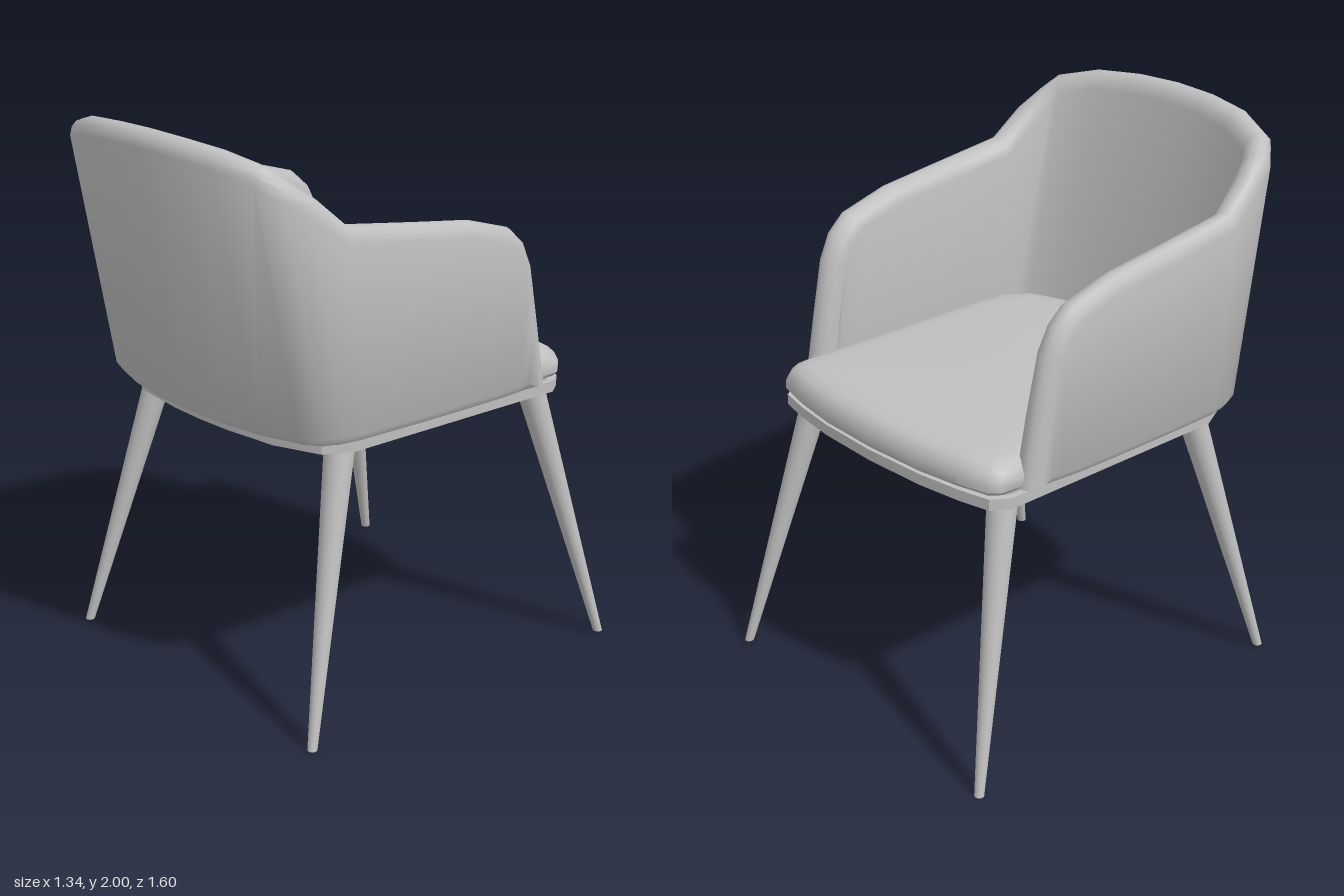
import * as THREE from 'three';
import { toCreasedNormals } from 'three/addons/utils/BufferGeometryUtils.js';

// Closed solid through equal-length rings of Vector3, with fan caps at both ends.
function loft(rings, crease) {
  const n = rings[0].length, pts = rings.flat(), tris = [];
  for (let i = 0; i < rings.length - 1; i++) {
    for (let j = 0; j < n; j++) {
      const a = i * n + j, b = i * n + (j + 1) % n;
      tris.push([a, b, b + n], [a, b + n, a + n]);
    }
  }
  [0, rings.length - 1].forEach((r, end) => {
    const c = pts.length;
    pts.push(rings[r].reduce((s, p) => s.add(p), new THREE.Vector3()).divideScalar(n));
    for (let j = 0; j < n; j++) {
      const a = r * n + j, b = r * n + (j + 1) % n;
      tris.push(end ? [a, b, c] : [b, a, c]);
    }
  });
  // Turn the faces outward
  let volume = 0;
  for (const [a, b, c] of tris) volume += pts[a].dot(pts[b].clone().cross(pts[c]));
  if (volume < 0) tris.forEach(t => t.reverse());
  const g = new THREE.BufferGeometry().setFromPoints(pts);
  g.setIndex(tris.flat());
  g.computeVertexNormals();
  return toCreasedNormals(g, crease);
}

// Mirrored plan outline, stacked in layers of [y, inset]
function slab(half, layers) {
  const cz = -0.06;
  const plan = [...half, ...half.slice(1, -1).reverse().map(([x, z]) => [-x, z])];
  return loft(layers.map(([y, inset]) => plan.map(([x, z]) => new THREE.Vector3(
    x * (1 - inset / 0.575), y, cz + (z - cz) * (1 - inset / 0.64)))), 0.7);
}

// Wraparound back and arms, swept from one arm front to the other
function shellGeometry() {
  // Outer edge from the middle of the back: x, bottom z, top z, top y
  const half = [
    [0, 0.62, 0.795, 2.0], [0.18, 0.612, 0.787, 1.995], [0.36, 0.585, 0.757, 1.98],
    [0.52, 0.535, 0.695, 1.94], [0.575, 0.49, 0.62, 1.89], [0.602, 0.43, 0.52, 1.83],
    [0.615, 0.35, 0.40, 1.735], [0.62, 0.1, 0.1, 1.695], [0.62, -0.14, -0.13, 1.665],
    [0.618, -0.28, -0.32, 1.61], [0.614, -0.34, -0.39, 1.55], [0.61, -0.38, -0.435, 1.46],
    [0.607, -0.42, -0.48, 1.25], [0.605, -0.45, -0.525, 1.02],
  ];
  const path = [...half.slice(1).reverse().map(([x, ...r]) => [-x, ...r]), ...half];
  const top = path.map(([x, , z, y]) => new THREE.Vector3(x, y, z));
  // Rounded rim: distance inward, depth below the edge
  const rim = [[0, 0.055], [0.008, 0.025], [0.025, 0.006], [0.045, 0],
    [0.07, 0.006], [0.092, 0.025], [0.105, 0.06]];
  const rings = path.map(([x, zb], i) => {
    const a = Math.max(i - 1, 0), b = Math.min(i + 1, path.length - 1);
    const out = new THREE.Vector3(path[a][1] - path[b][1], 0, path[b][0] - path[a][0]).normalize();
    const along = top[b].clone().sub(top[a]).normalize();
    const inward = along.cross(out).normalize();
    const foot = (d, y) => new THREE.Vector3(x, Math.min(y, top[i].y), zb).addScaledVector(out, -d);
    const ring = [foot(0, 1.04)];
    for (const [d, depth] of rim) {
      const p = top[i].clone().addScaledVector(out, -d).addScaledVector(inward, depth);
      p.y = Math.max(p.y, 1.015);
      ring.push(p);
    }
    ring.push(foot(0.07, 1.012), foot(0.02, 1.012));
    return ring;
  });
  return loft(rings, 0.8);
}

export function createModel() {
  const model = new THREE.Group();
  const grey = new THREE.MeshStandardMaterial({ color: 0xbfbfbf });
  grey.name = 'light grey';
  const add = (name, geometry) => {
    const mesh = new THREE.Mesh(geometry, grey);
    mesh.name = name;
    model.add(mesh);
    return mesh;
  };

  add('backAndArms', shellGeometry());

  // Padded seat with a soft upper edge
  add('seatCushion', slab(
    [[0, -0.70], [0.25, -0.69], [0.42, -0.665], [0.54, -0.635], [0.57, -0.60], [0.575, -0.54],
      [0.575, 0.30], [0.56, 0.42], [0.49, 0.51], [0.36, 0.555], [0.12, 0.585], [0, 0.585]],
    [[1.02, 0.012], [1.035, 0], [1.065, 0], [1.095, 0.012], [1.115, 0.03], [1.127, 0.06], [1.132, 0.11]]));

  // Flat board under the seat
  add('seatBase', slab(
    [[0, -0.69], [0.25, -0.68], [0.42, -0.657], [0.54, -0.63], [0.58, -0.57],
      [0.58, 0.36], [0.53, 0.46], [0.36, 0.525], [0.15, 0.55], [0, 0.555]],
    [[0.97, 0], [1.01, 0], [1.01, 0.02], [1.025, 0.02]]));

  // Splayed, tapering legs with level ends
  const legs = { frontLeg: [-0.535, -0.785], backLeg: [0.355, 0.605] };
  for (const [name, [zTop, zFoot]] of Object.entries(legs)) {
    for (const side of [-1, 1]) {
      const g = new THREE.CylinderGeometry(0.053, 0.017, 0.98, 20);
      g.translate(0, 0.49, 0);
      g.applyMatrix4(new THREE.Matrix4().set(
        1, side * (0.5 - 0.655) / 0.98, 0, side * 0.655,
        0, 1, 0, 0,
        0, (zTop - zFoot) / 0.98, 1, zFoot,
        0, 0, 0, 1));
      add((side > 0 ? 'left ' : 'right ') + name, g);
    }
  }
  return model;
}
